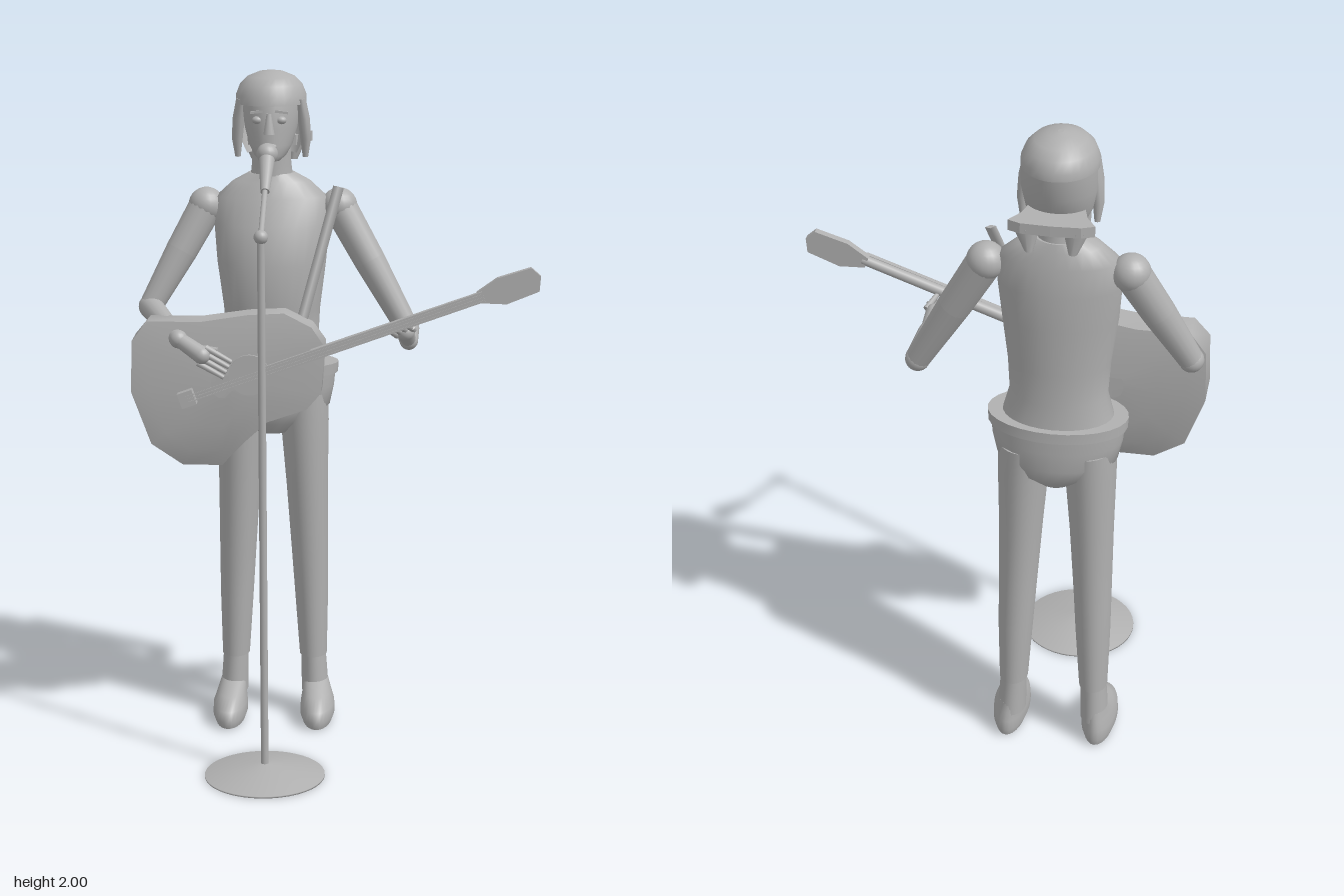
import * as THREE from 'three';

const grey = new THREE.MeshStandardMaterial({ color: 0xb0b0b0, side: THREE.DoubleSide });
grey.name = 'plain grey';
const V = (x, y, z) => new THREE.Vector3(x, y, z);

function add(parent, name, geometry, x = 0, y = 0, z = 0) {
  const m = new THREE.Mesh(geometry, grey);
  m.name = name;
  m.position.set(x, y, z);
  parent.add(m);
  return m;
}

// Joins a list of point loops into a smooth skin; closed skins get end caps.
function skin(sections, closed = true) {
  const n = sections[0].length, pos = [], index = [];
  sections.forEach(s => s.forEach(p => pos.push(p.x, p.y, p.z)));
  for (let i = 0; i < sections.length - 1; i++)
    for (let j = 0; j < (closed ? n : n - 1); j++) {
      const a = i * n + j, b = i * n + (j + 1) % n;
      index.push(a, b, b + n, a, b + n, a + n);
    }
  if (closed) [0, sections.length - 1].forEach((k, end) => {
    const c = new THREE.Vector3(), start = pos.length / 3;
    sections[k].forEach(p => { c.addScaledVector(p, 1 / n); pos.push(p.x, p.y, p.z); });
    pos.push(c.x, c.y, c.z);
    for (let j = 0; j < n; j++) {
      const a = start + j, b = start + (j + 1) % n;
      index.push(start + n, end ? a : b, end ? b : a);
    }
  });
  const g = new THREE.BufferGeometry();
  g.setAttribute('position', new THREE.Float32BufferAttribute(pos, 3));
  g.setIndex(index);
  g.computeVertexNormals();
  return g;
}

// Horizontal ellipses [y, z, rx, rz, x], bottom to top, optionally only an arc.
function loft(rings, from = 0, to = Math.PI * 2, n = 28) {
  const closed = to - from > 6.28, count = closed ? n : n + 1;
  return skin(rings.map(([y, z, rx, rz, x = 0]) => Array.from({ length: count }, (_, j) => {
    const a = from + (to - from) * j / n;
    return V(x + rx * Math.sin(a), y, z + rz * Math.cos(a));
  })), closed);
}

// Tapered round rod from a to b.
function rod(parent, name, a, b, r0, r1 = r0, sides = 16) {
  const d = b.clone().sub(a);
  const m = add(parent, name, new THREE.CylinderGeometry(r1, r0, d.length(), sides));
  m.position.copy(a).addScaledVector(d, 0.5);
  m.quaternion.setFromUnitVectors(V(0, 1, 0), d.normalize());
  return m;
}

function ball(parent, name, p, r, sx = 1, sy = 1, sz = 1) {
  const m = add(parent, name, new THREE.SphereGeometry(r, 20, 14), p.x, p.y, p.z);
  m.scale.set(sx, sy, sz);
  return m;
}

function buildArm(parent, name, shoulder, elbow, wrist, knuckle, fingertip, spread) {
  const arm = new THREE.Group();
  arm.name = name;
  parent.add(arm);
  const mid = shoulder.clone().lerp(elbow, 0.45);
  ball(arm, 'shoulder', shoulder, 0.054);
  rod(arm, 'upperArm', shoulder, mid, 0.051, 0.047);
  rod(arm, 'sleeve', mid, elbow, 0.047, 0.035);
  ball(arm, 'elbow', elbow, 0.036);
  rod(arm, 'forearm', elbow, wrist, 0.036, 0.027);
  ball(arm, 'wrist', wrist, 0.027);
  rod(arm, 'palm', wrist, knuckle, 0.022, 0.026);
  ball(arm, 'knuckles', knuckle, 0.026);
  for (let i = 0; i < 4; i++) {
    const off = spread.clone().multiplyScalar((i - 1.5) * 0.017);
    const tip = fingertip.clone().add(off);
    rod(arm, 'finger', knuckle.clone().add(off), tip, 0.010, 0.007, 8);
  }
  const thumb = wrist.clone().lerp(knuckle, 0.5);
  rod(arm, 'thumb', thumb, thumb.clone().lerp(fingertip, 0.6).addScaledVector(spread, 0.035), 0.012, 0.008, 8);
}

function buildHead(parent) {
  const head = new THREE.Group();
  head.name = 'head';
  parent.add(head);
  add(head, 'neck', loft([[1.68, -0.268, 0.064, 0.066], [1.73, -0.265, 0.058, 0.062], [1.82, -0.262, 0.058, 0.062]]));
  add(head, 'face', loft([[1.745, -0.195, 0.03, 0.045], [1.76, -0.205, 0.047, 0.063], [1.79, -0.225, 0.064, 0.083],
    [1.84, -0.25, 0.078, 0.107], [1.9, -0.255, 0.085, 0.11], [1.95, -0.26, 0.075, 0.1]]));
  // Hair: full cap above the brow, open shell at the back, locks beside the face
  add(head, 'hairCap', loft([[1.905, -0.268, 0.104, 0.122], [1.93, -0.27, 0.104, 0.121], [1.96, -0.27, 0.092, 0.108],
    [1.982, -0.27, 0.07, 0.083], [1.996, -0.27, 0.036, 0.043], [2, -0.27, 0.008, 0.01]]));
  add(head, 'backHair', loft([[1.755, -0.27, 0.075, 0.06], [1.79, -0.27, 0.092, 0.085], [1.85, -0.27, 0.104, 0.112],
    [1.91, -0.27, 0.104, 0.121]], Math.PI * 0.56, Math.PI * 1.44));
  // Flared tail at the nape with two hanging tips
  const fan = [[-0.07, 0.3], [0.07, 0.3], [0.088, 0.37], [0.115, 0.415], [0.08, 0.43], [0, 0.434], [-0.08, 0.43], [-0.115, 0.415], [-0.088, 0.37]];
  const tail = add(head, 'hairTail', new THREE.ExtrudeGeometry(
    new THREE.Shape(fan.map(([x, z]) => new THREE.Vector2(x, z))), { depth: 0.03, bevelEnabled: false }), 0, 1.775, 0);
  tail.rotation.x = -Math.PI / 2;
  for (const s of [-1, 1]) {
    add(head, 'sideLock', loft([[1.745, -0.268, 0.008, 0.008, s * 0.1], [1.8, -0.262, 0.016, 0.022, s * 0.101],
      [1.86, -0.255, 0.018, 0.036, s * 0.096], [1.92, -0.25, 0.016, 0.048, s * 0.086]], 0, Math.PI * 2, 12));
    add(head, 'tailTip', loft([[1.72, -0.415, 0.012, 0.014, s * 0.058], [1.785, -0.413, 0.035, 0.018, s * 0.066]], 0, Math.PI * 2, 10));
    ball(head, 'eye', V(s * 0.035, 1.865, -0.158), 0.013, 1.2, 0.9, 1);
    add(head, 'eyebrow', new THREE.BoxGeometry(0.038, 0.007, 0.012), s * 0.036, 1.889, -0.153).rotation.z = -s * 0.12;
  }
  rod(head, 'nose', V(0, 1.825, -0.143), V(0, 1.885, -0.146), 0.017, 0.007, 10);
  ball(head, 'lips', V(0, 1.79, -0.145), 0.015, 1.5, 0.6, 0.9);
}

function buildSinger() {
  const body = new THREE.Group();
  body.name = 'singer';
  body.position.x = -0.2;
  buildHead(body);
  add(body, 'torso', loft([[1.1, -0.25, 0.165, 0.11], [1.2, -0.245, 0.138, 0.104], [1.3, -0.24, 0.144, 0.112],
    [1.44, -0.236, 0.162, 0.12], [1.55, -0.255, 0.171, 0.105], [1.63, -0.264, 0.165, 0.088],
    [1.675, -0.27, 0.115, 0.073], [1.7, -0.27, 0.068, 0.066]]));
  add(body, 'belt', loft([[1.1, -0.254, 0.197, 0.124], [1.132, -0.253, 0.199, 0.124]]));
  add(body, 'hips', loft([[0.92, -0.255, 0.06, 0.07], [0.955, -0.256, 0.125, 0.102], [1.0, -0.256, 0.172, 0.114],
    [1.06, -0.256, 0.185, 0.117], [1.11, -0.255, 0.19, 0.118]]));
  for (const s of [-1, 1]) {
    const leg = new THREE.Group();
    leg.name = s > 0 ? 'leftLeg' : 'rightLeg';
    body.add(leg);
    const rings = [[0.2, -0.27, 0.042, 0.056, 0.12], [0.4, -0.268, 0.051, 0.066, 0.115], [0.52, -0.262, 0.055, 0.064, 0.111],
      [0.75, -0.255, 0.063, 0.08, 0.103], [0.95, -0.255, 0.073, 0.094, 0.096], [1.04, -0.255, 0.075, 0.1, 0.092]];
    add(leg, 'trouser', loft(rings.map(([y, z, rx, rz, x]) => [y, z, rx, rz, s * x])));
    add(leg, 'ankle', loft([[0.08, -0.27, 0.042, 0.058, s * 0.126], [0.215, -0.27, 0.038, 0.052, s * 0.12]]));
    add(leg, 'shoe', loft([[0.008, -0.213, 0.045, 0.12, s * 0.135], [0.03, -0.212, 0.053, 0.128, s * 0.135],
      [0.06, -0.215, 0.052, 0.122, s * 0.135], [0.09, -0.237, 0.044, 0.093, s * 0.132], [0.12, -0.27, 0.038, 0.055, s * 0.127]]));
  }
  return body;
}

function buildGuitar() {
  const guitar = new THREE.Group();
  guitar.name = 'guitar';
  const outline = [[-0.595, 1.1], [-0.54, 0.94], [-0.45, 0.872], [-0.335, 0.872], [-0.27, 0.945], [-0.2, 1.01], [-0.085, 1.05],
    [-0.042, 1.1], [-0.032, 1.235], [-0.07, 1.29], [-0.15, 1.33], [-0.255, 1.325], [-0.39, 1.305], [-0.545, 1.305], [-0.59, 1.25]];
  // The body is thickest along its middle and thins toward the top and bottom
  const layer = (scale, side) => outline.map(([px, py]) => {
    const x = -0.32 + (px + 0.32) * scale, y = 1.12 + (py - 1.12) * scale;
    return V(x, y, -0.017 + side * 0.062 * Math.sqrt(Math.max(0.1, 1 - ((y - 1.13) / 0.275) ** 2)));
  });
  add(guitar, 'guitarBody', skin([[0.15, -1], [0.5, -1], [0.8, -1], [1, -1], [1, -1], [1, 1], [1, 1], [0.8, 1], [0.5, 1], [0.15, 1]]
    .map(([s, side]) => layer(s, side))));
  // Neck assembly lies along local x, starting at the bridge
  const neck = new THREE.Group();
  neck.name = 'neckAssembly';
  neck.position.set(-0.43, 1.085, 0);
  neck.rotation.z = 0.344;
  guitar.add(neck);
  add(neck, 'fingerboard', new THREE.BoxGeometry(0.66, 0.03, 0.012), 0.575, 0, 0.062);
  const back = add(neck, 'neck', new THREE.CylinderGeometry(0.015, 0.017, 0.52, 14), 0.645, 0, 0.05);
  back.rotation.z = -Math.PI / 2;
  const head = [[0.89, -0.016], [0.96, -0.044], [1.06, -0.04], [1.078, 0.0], [1.06, 0.032], [0.96, 0.036], [0.89, 0.016]];
  add(neck, 'headstock', new THREE.ExtrudeGeometry(new THREE.Shape(head.map(p => new THREE.Vector2(...p))),
    { depth: 0.022, bevelEnabled: false }), 0, 0, 0.037);
  add(neck, 'bridge', new THREE.BoxGeometry(0.045, 0.045, 0.035), 0, 0, 0.058);
  for (let i = -1; i <= 1; i++)
    add(neck, 'string', new THREE.BoxGeometry(0.9, 0.003, 0.003), 0.45, i * 0.009, 0.077);
  const hole = add(guitar, 'soundHole', new THREE.CylinderGeometry(0.06, 0.06, 0.008, 28), -0.25, 1.152, 0.046);
  hole.rotation.x = Math.PI / 2;
  // Flat shoulder strap
  const strap = rod(guitar, 'strap', V(-0.1, 1.3, -0.06), V(0.0, 1.665, -0.2), 0.016, 0.016, 4);
  strap.scale.z = 0.4;
  return guitar;
}

function buildMicrophone() {
  const mic = new THREE.Group();
  mic.name = 'microphoneStand';
  mic.position.x = -0.2;
  add(mic, 'base', new THREE.LatheGeometry([[0, 0.004], [0.175, 0.004], [0.175, 0.009], [0.09, 0.029], [0.02, 0.041], [0, 0.042]]
    .map(p => new THREE.Vector2(...p)), 40), 0, 0, 0.258);
  rod(mic, 'pole', V(0, 0.03, 0.258), V(0, 1.59, 0.258), 0.011);
  ball(mic, 'joint', V(0, 1.59, 0.258), 0.02);
  rod(mic, 'boom', V(0, 1.59, 0.258), V(0, 1.69, 0.06), 0.008);
  rod(mic, 'handle', V(0, 1.688, 0.062), V(0, 1.765, -0.035), 0.013, 0.023);
  ball(mic, 'grille', V(0, 1.78, -0.057), 0.031);
  return mic;
}

export function createModel() {
  const model = new THREE.Group();
  model.name = 'guitarSinger';
  model.add(buildSinger(), buildGuitar(), buildMicrophone());
  buildArm(model, 'rightArm', V(-0.395, 1.6, -0.27), V(-0.56, 1.305, -0.2), V(-0.455, 1.255, 0.035),
    V(-0.385, 1.215, 0.07), V(-0.31, 1.175, 0.08), V(0.45, 0.89, 0));
  buildArm(model, 'leftArm', V(0.0, 1.6, -0.27), V(0.205, 1.24, -0.22), V(0.21, 1.235, -0.06),
    V(0.2, 1.27, -0.01), V(0.175, 1.295, 0.045), V(0.94, 0.34, 0));
  return model;
}
